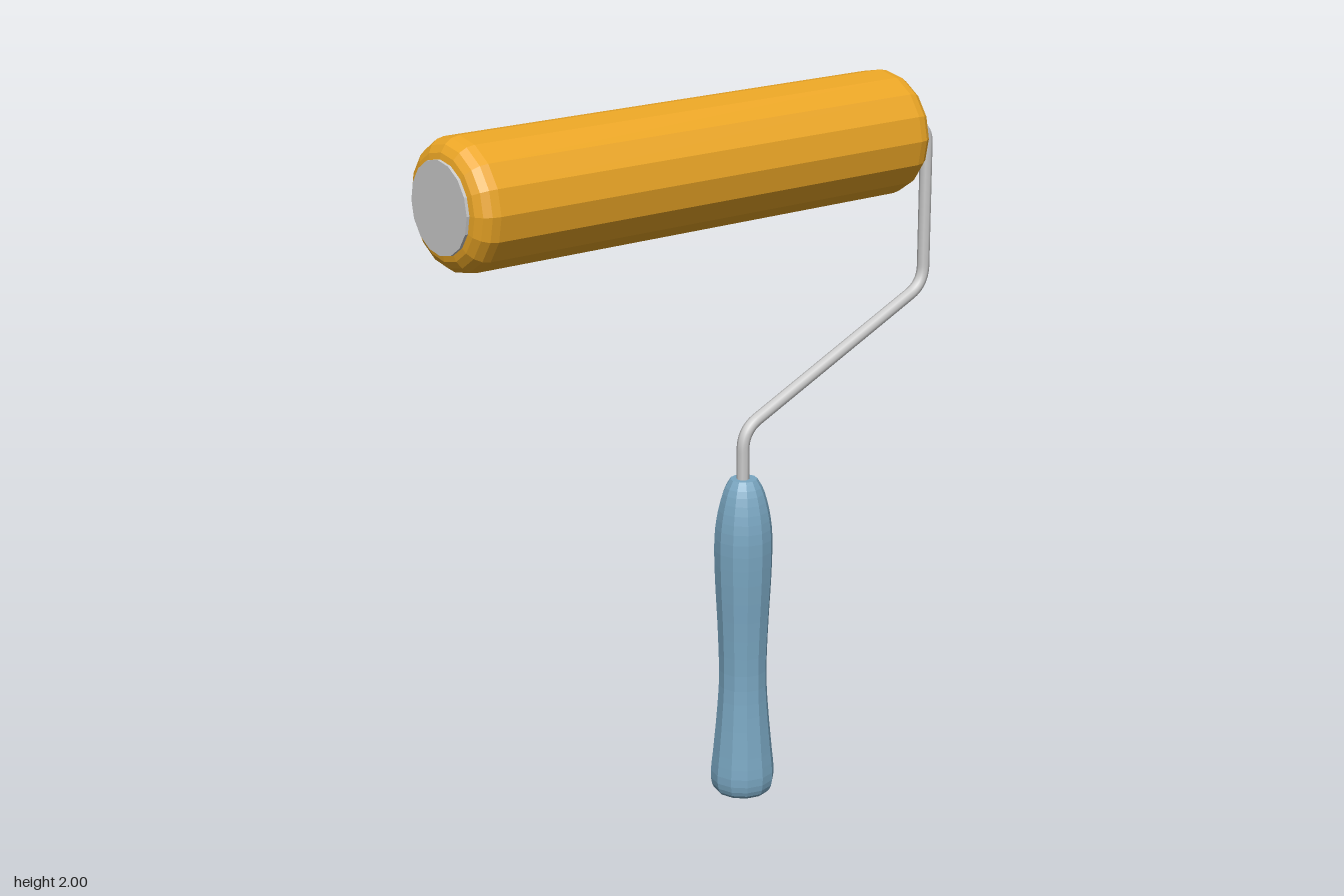
import * as THREE from 'three';

const AXIS_Y = 1.83;
const HANDLE_X = 0.145;

function material(color, flatShading = true) {
  return new THREE.MeshStandardMaterial({ color, flatShading });
}

function addMesh(parent, name, geometry, mat) {
  const mesh = new THREE.Mesh(geometry, mat);
  mesh.name = name;
  parent.add(mesh);
  return mesh;
}

// Straight runs joined by rounded bends
function bentPath(corners, radius) {
  const path = new THREE.CurvePath();
  let start = corners[0];
  for (let i = 1; i < corners.length - 1; i++) {
    const c = corners[i];
    const toward = (p) => c.clone().add(p.clone().sub(c).setLength(radius));
    const a = toward(corners[i - 1]);
    const b = toward(corners[i + 1]);
    path.add(new THREE.LineCurve3(start, a));
    path.add(new THREE.QuadraticBezierCurve3(a, c, b));
    start = b;
  }
  path.add(new THREE.LineCurve3(start, corners[corners.length - 1]));
  return path;
}

export function createModel() {
  const group = new THREE.Group();
  const metal = material(0xcccccc);

  // Roller assembly, turned about the x axis
  const roller = new THREE.Group();
  roller.name = 'roller';
  roller.position.y = AXIS_Y;
  roller.rotation.z = -Math.PI / 2;
  group.add(roller);

  // Fabric sleeve with rounded ends
  const R = 0.171, bevel = 0.058, x0 = -0.813, x1 = 0.677;
  const sleeve = [new THREE.Vector2(0, x0)];
  for (const [end, from] of [[x0 + bevel, -1], [x1 - bevel, 0]]) {
    for (let i = 0; i <= 4; i++) {
      const a = (from + i / 4) * Math.PI / 2;
      sleeve.push(new THREE.Vector2(R - bevel + bevel * Math.cos(a), end + bevel * Math.sin(a)));
    }
  }
  sleeve.push(new THREE.Vector2(0, x1));
  addMesh(roller, 'sleeve', new THREE.LatheGeometry(sleeve, 16), material(0xeba626));

  // End caps and the axle hub: name, radius, start, end
  for (const [name, r, a, b] of [
    ['outerCap', 0.119, -0.82, -0.77],
    ['innerCap', 0.119, 0.63, 0.686],
    ['hub', 0.045, 0.68, 0.735],
  ]) {
    const cap = addMesh(roller, name, new THREE.CylinderGeometry(r, r, b - a, 16), metal);
    cap.position.y = (a + b) / 2;
  }

  // Bent wire frame
  const corners = [[0.7, AXIS_Y], [0.798, AXIS_Y], [0.798, 1.375], [HANDLE_X - 0.003, 1.072], [HANDLE_X - 0.003, 0.9]]
    .map(([x, y]) => new THREE.Vector3(x, y, 0));
  addMesh(group, 'frame', new THREE.TubeGeometry(bentPath(corners, 0.055), 160, 0.0175, 8), material(0xcccccc, false));

  // Grip: contoured profile, rounded at the foot and tapered to the neck
  const contour = new THREE.SplineCurve([
    [0.055, 0.004], [0.08, 0.018], [0.09, 0.06], [0.083, 0.14], [0.073, 0.25], [0.067, 0.36],
    [0.071, 0.5], [0.079, 0.65], [0.081, 0.76], [0.073, 0.835], [0.056, 0.9], [0.037, 0.935],
  ].map(([r, y]) => new THREE.Vector2(r, y)));
  const profile = [new THREE.Vector2(0, 0), ...contour.getPoints(30), new THREE.Vector2(0, 0.935)];
  const grip = addMesh(group, 'grip', new THREE.LatheGeometry(profile, 12), material(0x7aa7c2));
  grip.position.x = HANDLE_X;

  return group;
}
